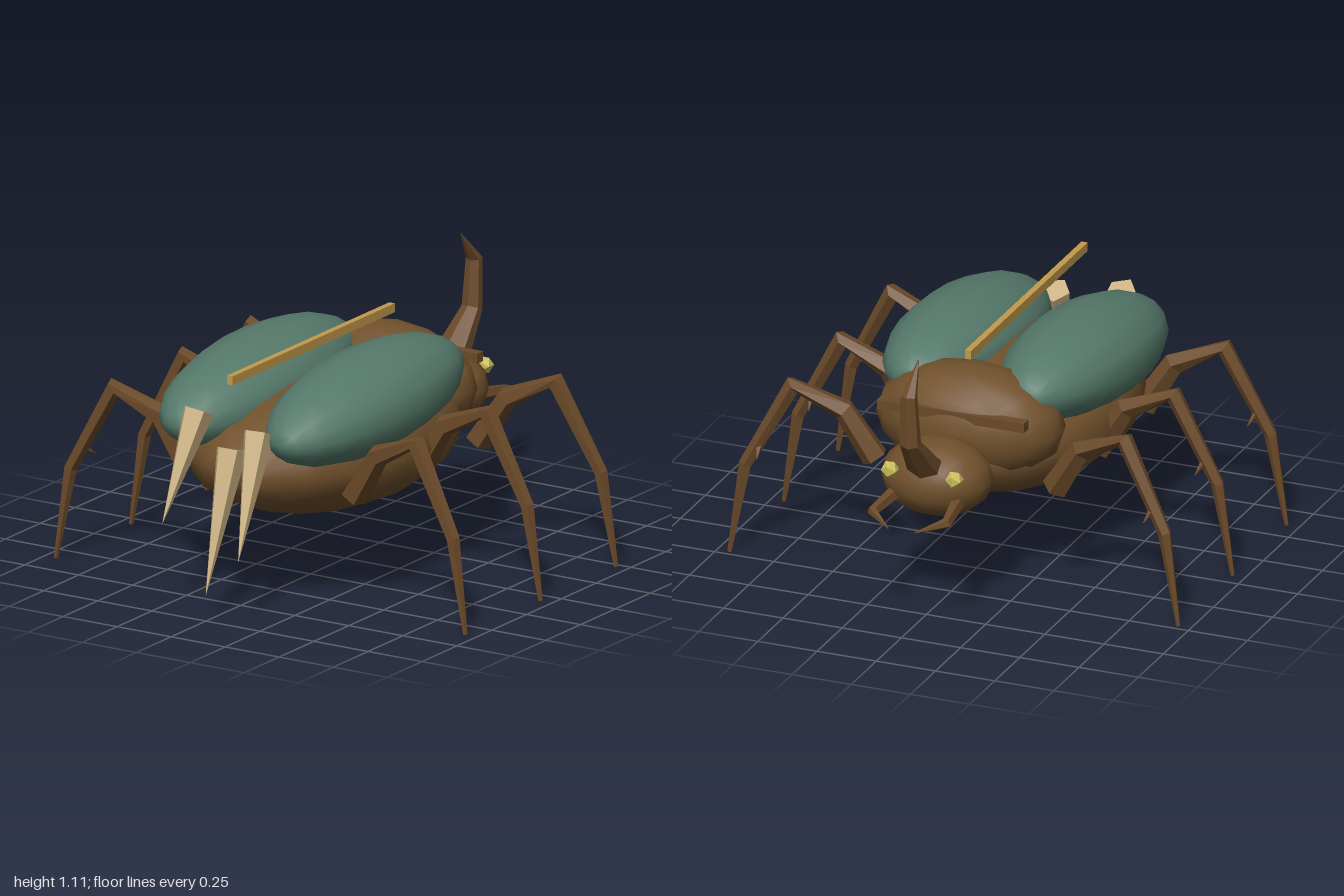
import * as THREE from 'three';

const mat = (name, color, flatShading = false) => {
  const m = new THREE.MeshStandardMaterial({ color, flatShading });
  m.name = name;
  return m;
};

// Mitred tapering tube through points; "side" is the axis across the bend plane.
function taper(points, radii, side, sides = 5, aspect = 1) {
  const pts = points.map(p => new THREE.Vector3(...p));
  const last = pts.length - 1, pos = [], idx = [];
  pts.forEach((p, i) => {
    const t = pts[Math.min(i + 1, last)].clone().sub(pts[Math.max(i - 1, 0)]).normalize();
    const n = t.clone().cross(side).normalize();
    const u = n.clone().cross(t);
    for (let j = 0; j < sides; j++) {
      const a = (j + 0.5) / sides * Math.PI * 2;
      const v = p.clone().addScaledVector(u, Math.cos(a) * radii[i] * aspect)
        .addScaledVector(n, Math.sin(a) * radii[i]);
      pos.push(v.x, v.y, v.z);
    }
  });
  for (let i = 0; i < last; i++) {
    for (let j = 0; j < sides; j++) {
      const k = (j + 1) % sides, a = i * sides, b = a + sides;
      idx.push(a + j, a + k, b + j, a + k, b + k, b + j);
    }
  }
  // end caps
  for (let j = 1; j < sides - 1; j++) {
    const e = last * sides;
    idx.push(0, j + 1, j, e, e + j, e + j + 1);
  }
  let g = new THREE.BufferGeometry();
  g.setAttribute('position', new THREE.Float32BufferAttribute(pos, 3));
  g.setIndex(idx);
  g = g.toNonIndexed();
  g.computeVertexNormals();
  return g;
}

// Low-poly ellipsoid whose poles lie along z.
function ellipsoid(rx, ry, rz, w = 16, h = 10) {
  return new THREE.SphereGeometry(1, w, h).rotateX(Math.PI / 2).scale(rx, ry, rz);
}

export function createModel() {
  const model = new THREE.Group();
  const shell = mat('shellBrown', 0x70502c);
  const limb = mat('limbBrown', 0x6b4a29, true);
  const green = mat('wingCaseGreen', 0x55796a);
  const cream = mat('spineCream', 0xcdb283, true);
  const gold = mat('seamGold', 0xc29a4a);
  const yellow = mat('eyeYellow', 0xcabb5a, true);
  const X = new THREE.Vector3(1, 0, 0), Y = new THREE.Vector3(0, 1, 0), Z = new THREE.Vector3(0, 0, 1);

  const add = (name, geometry, material, x = 0, y = 0, z = 0) => {
    const mesh = new THREE.Mesh(geometry, material);
    mesh.name = name;
    mesh.position.set(x, y, z);
    model.add(mesh);
    return mesh;
  };

  // Body
  add('abdomen', ellipsoid(0.47, 0.27, 0.68), shell, 0, 0.55, 0.15);
  add('thorax', ellipsoid(0.39, 0.23, 0.225), shell, 0, 0.66, -0.305);
  add('head', ellipsoid(0.226, 0.157, 0.18, 14, 10), shell, 0, 0.55, -0.64);
  add('collarBar', new THREE.BoxGeometry(0.62, 0.04, 0.045), limb, 0, 0.745, -0.487);
  add('seamBar', new THREE.BoxGeometry(0.026, 0.036, 1.165), gold, 0, 0.937, 0.247);

  // Curved horn sweeping up and back
  add('horn', taper(
    [[0, 0.62, -0.75], [0, 0.79, -0.91], [0, 0.99, -0.925], [0, 1.11, -0.83]],
    [0.06, 0.034, 0.027, 0.002], X, 6, 1.3), limb);

  for (const s of [1, -1]) {
    const label = s > 0 ? 'left' : 'right';

    // Wing case, tipped down towards the tail
    add(label + 'WingCase', ellipsoid(0.256, 0.192, 0.6, 14, 12), green, s * 0.245, 0.75, 0.24)
      .rotation.x = 0.075;

    add(label + 'Eye', new THREE.IcosahedronGeometry(0.037, 0), yellow, s * 0.136, 0.61, -0.79);

    add(label + 'Mandible', taper(
      [[s * 0.13, 0.5, -0.74], [s * 0.155, 0.48, -0.92], [s * 0.055, 0.455, -1]],
      [0.03, 0.022, 0.002], Y), limb);

    // Legs: z at the body and z at the foot
    [['front', -0.36, -0.475], ['middle', 0.06, 0.068], ['rear', 0.525, 0.608]].forEach(([row, z0, z1]) => {
      const at = (x, y) => [s * x, y, z0 + (z1 - z0) * (x - 0.38) / 0.57];
      add(label + row + 'Leg', taper(
        [at(0.38, 0.45), at(0.5, 0.64), at(0.7, 0.73), at(0.885, 0.38), at(0.947, 0.004)],
        [0.055, 0.046, 0.038, 0.027, 0.009], Z), limb);
      const [bx, by, bz] = at(0.83, 0.47);
      add(label + row + 'LegSpur', taper(
        [[bx, by, bz], [s * 0.815, 0.43, bz - 0.065]], [0.016, 0.001], Y, 4), limb);
    });
  }

  // Trailing spines at the tail
  [
    ['right', [-0.16, 0.785, 0.81], [-0.2, 0.37, 1]],
    ['middle', [0, 0.655, 0.82], [0, 0.11, 1]],
    ['left', [0.12, 0.74, 0.81], [0.15, 0.27, 1]],
  ].forEach(([name, base, tip]) =>
    add(name + 'TailSpine', taper([base, tip], [0.065, 0.001], X, 5), cream));

  return model;
}
